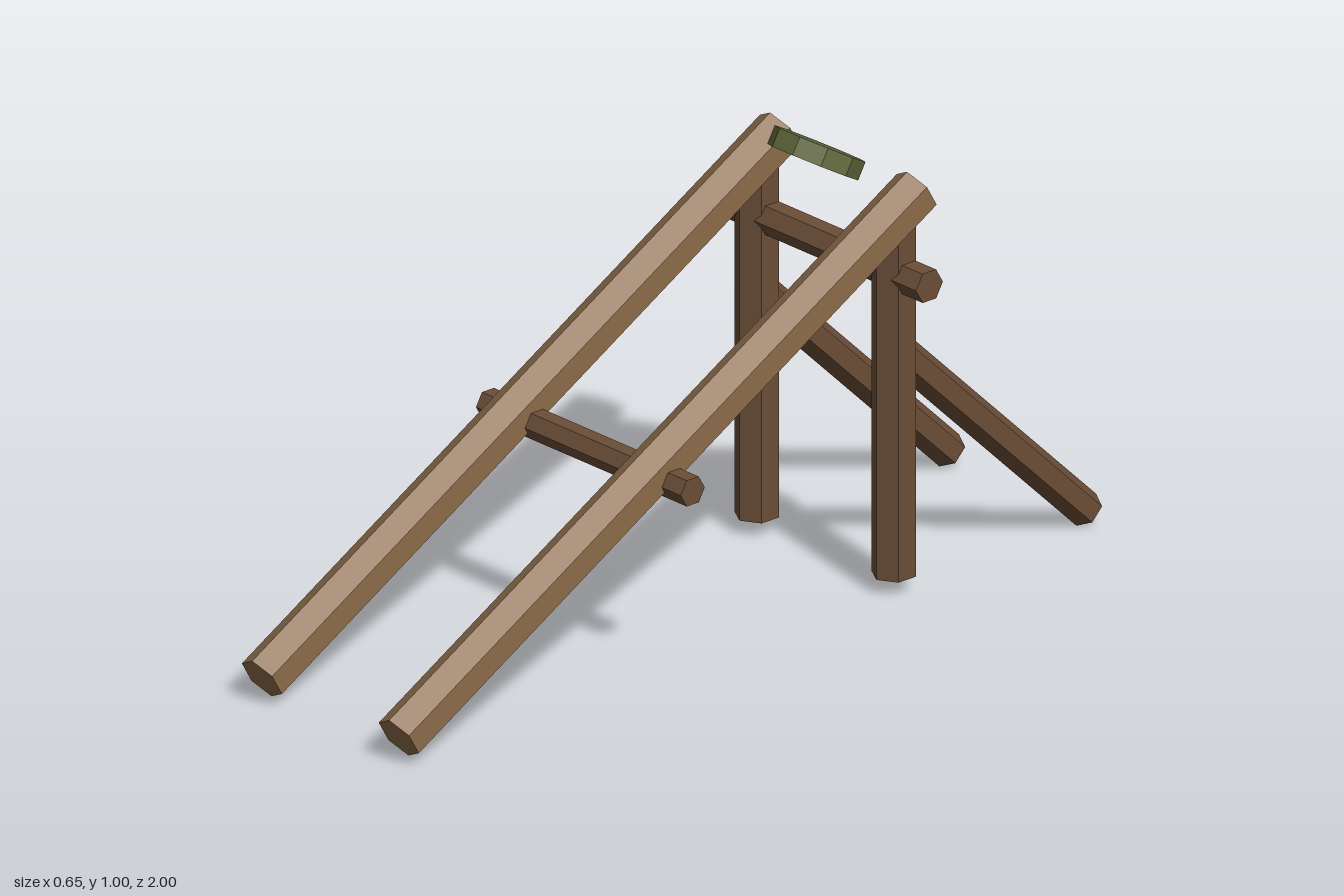
import * as THREE from 'three';

const paint = (name, color) => {
  const m = new THREE.MeshStandardMaterial({ color, flatShading: true });
  m.name = name;
  return m;
};

// Straight log between two points, lying in the plane of its tilt
function log(name, from, to, radius, material, sides = 6) {
  const a = new THREE.Vector3(...from), b = new THREE.Vector3(...to);
  const dir = b.clone().sub(a);
  const mesh = new THREE.Mesh(new THREE.CylinderGeometry(radius, radius, dir.length(), sides), material);
  mesh.position.copy(a).add(b).multiplyScalar(0.5);
  mesh.quaternion.setFromUnitVectors(new THREE.Vector3(0, 1, 0), dir.normalize());
  mesh.name = name;
  return mesh;
}

export function createModel() {
  const group = new THREE.Group();
  group.name = 'logRack';
  const lightWood = paint('lightWood', 0x8b6b4a);
  const darkWood = paint('darkWood', 0x6b4e37);
  const green = paint('mossGreen', 0x5e6639);

  // Sloping rails, upright posts and rear braces, one set per side
  for (const [side, x] of [['left', 0.216], ['right', -0.216]]) {
    group.add(
      log(side + 'Rail', [x, 0.053, 0.972], [x, 0.895, -0.492], 0.055, lightWood),
      log(side + 'Post', [x, 0.035, -0.427], [x, 0.85, -0.427], 0.049, darkWood),
      log(side + 'Brace', [x, 0.029, -0.971], [x, 0.55, -0.431], 0.04, darkWood)
    );
  }

  // Crossbars joining the two sides
  group.add(
    log('upperCrossbar', [-0.323, 0.724, -0.432], [0.323, 0.724, -0.432], 0.038, darkWood),
    log('lowerCrossbar', [-0.323, 0.443, 0.237], [0.323, 0.443, 0.237], 0.034, darkWood)
  );

  // Tilted ten-sided disc at the top
  const disc = new THREE.Mesh(new THREE.CylinderGeometry(0.104, 0.104, 0.042, 10).rotateY(Math.PI / 2), green);
  disc.position.set(0, 0.936, -0.402);
  disc.rotation.x = -Math.PI / 6;
  disc.name = 'disc';
  group.add(disc);

  return group;
}
